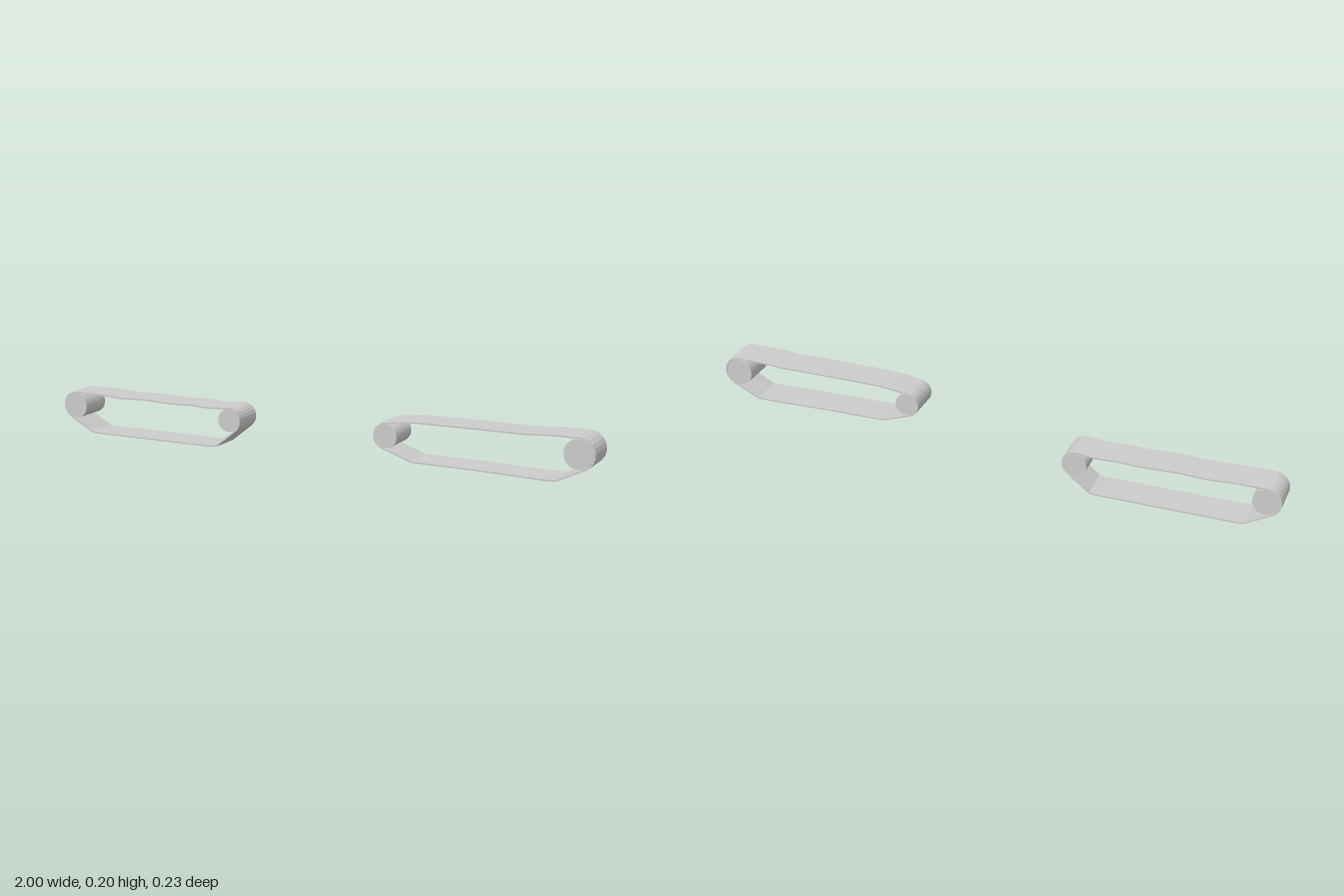
import * as THREE from 'three';

const material = new THREE.MeshStandardMaterial({ color: 0xcccccc, flatShading: true });
const DEPTH = 0.117;
const THICKNESS = 0.0055;

const vec = ([x, y]) => new THREE.Vector2(x, y);

// Points along the belt where it wraps a roller, angles in degrees
function arc({ x, y, belt }, from, to, steps = 9) {
  return Array.from({ length: steps + 1 }, (_, i) => {
    const a = THREE.MathUtils.degToRad(from + ((to - from) * i) / steps);
    return new THREE.Vector2(x + belt * Math.cos(a), y + belt * Math.sin(a));
  });
}

// Mitred inward offset of a counter-clockwise loop
function inset(loop, t) {
  const n = loop.length;
  return loop.map((p, i) => {
    const d1 = p.clone().sub(loop[(i + n - 1) % n]).normalize();
    const d2 = loop[(i + 1) % n].clone().sub(p).normalize();
    const n1 = new THREE.Vector2(-d1.y, d1.x);
    const n2 = new THREE.Vector2(-d2.y, d2.x);
    const miter = n1.clone().add(n2).normalize();
    return p.clone().addScaledVector(miter, t / Math.max(0.5, miter.dot(n1)));
  });
}

function makeTrack(name, z, { left, right, top, bottom, leftArc, rightArc }) {
  const track = new THREE.Group();
  track.name = name;

  // Belt: closed thin loop, counter-clockwise
  const loop = [
    ...arc(left, ...leftArc),
    ...bottom.map(vec),
    ...arc(right, ...rightArc),
    ...top.map(vec),
  ];
  const shape = new THREE.Shape(loop);
  shape.holes.push(new THREE.Path(inset(loop, THICKNESS)));
  const belt = new THREE.Mesh(
    new THREE.ExtrudeGeometry(shape, { depth: DEPTH, bevelEnabled: false }), material);
  belt.name = 'belt';
  track.add(belt);

  // End rollers
  for (const [rollerName, r] of [['rightRoller', left], ['leftRoller', right]]) {
    const geometry = new THREE.CylinderGeometry(r.radius, r.radius, DEPTH, 28);
    geometry.rotateX(Math.PI / 2);
    const roller = new THREE.Mesh(geometry, material);
    roller.name = rollerName;
    roller.position.set(r.x, r.y, DEPTH / 2);
    track.add(roller);
  }
  track.position.z = z;
  return track;
}

export function createModel() {
  const model = new THREE.Group();
  model.name = 'crawlerTracks';

  // Rear track with a slack, wavy upper run
  model.add(makeTrack('rightTrack', -DEPTH, {
    left: { x: -0.95, y: 0.095, belt: 0.05, radius: 0.0445 },
    right: { x: -0.327, y: 0.1, belt: 0.045, radius: 0.0395 },
    leftArc: [90, 239],
    rightArc: [-49, 90],
    bottom: [[-0.89, 0.004], [-0.87, 0], [-0.395, 0], [-0.375, 0.004]],
    top: [[-0.39, 0.14], [-0.43, 0.14], [-0.47, 0.143], [-0.53, 0.14], [-0.59, 0.141],
      [-0.66, 0.144], [-0.71, 0.142], [-0.76, 0.14], [-0.8, 0.142], [-0.84, 0.145]],
  }));

  // Front track with a taut upper run
  model.add(makeTrack('leftTrack', 0, {
    left: { x: 0.312, y: 0.136, belt: 0.044, radius: 0.0385 },
    right: { x: 0.946, y: 0.145, belt: 0.054, radius: 0.0475 },
    leftArc: [100, 249],
    rightArc: [-62, 90],
    bottom: [[0.4, 0.058], [0.6, 0.057], [0.83, 0.051], [0.878, 0.052]],
    top: [[0.86, 0.198], [0.83, 0.197], [0.78, 0.193], [0.6, 0.193], [0.42, 0.192], [0.37, 0.188]],
  }));

  return model;
}
